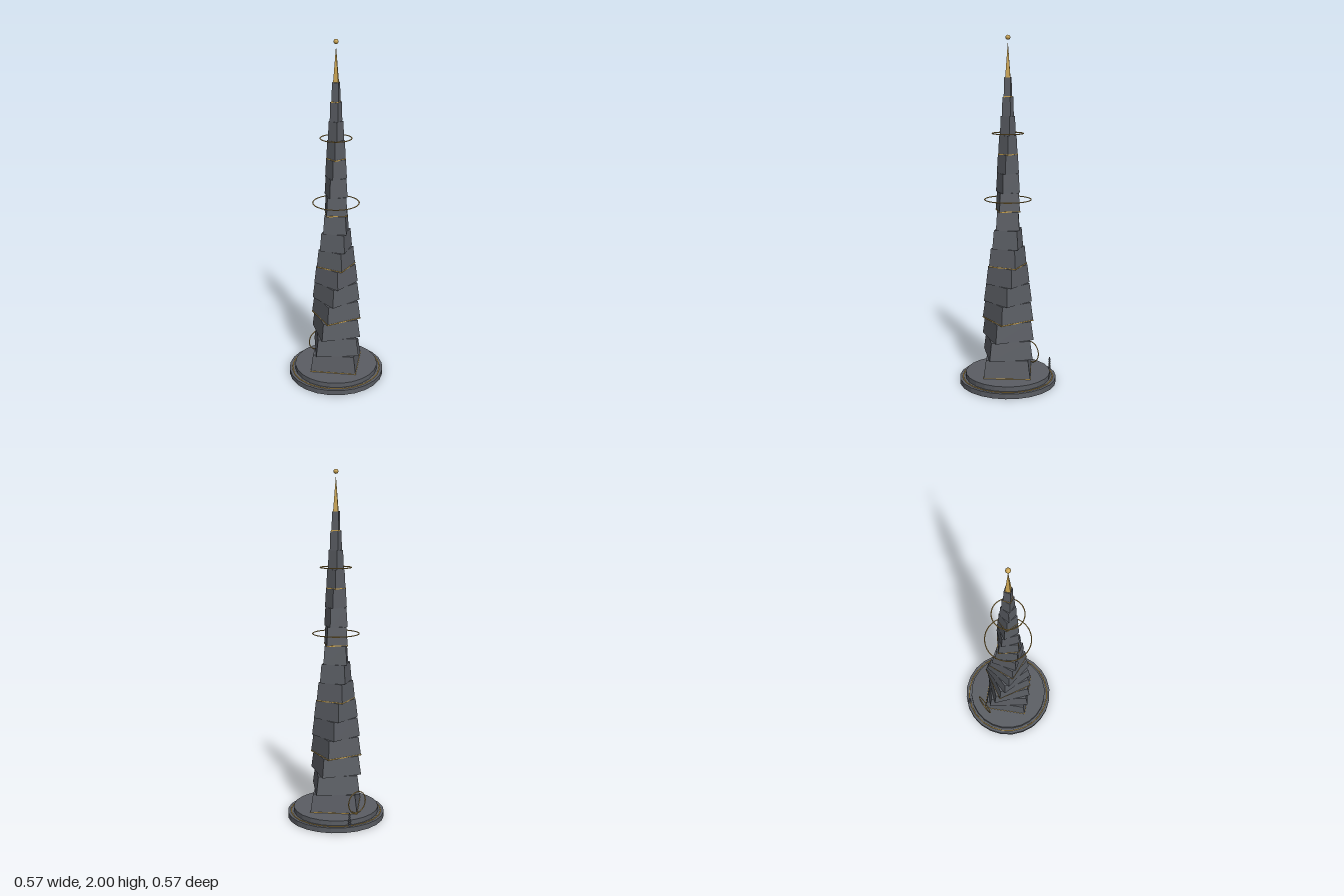
import * as THREE from 'three';

const stone = new THREE.MeshStandardMaterial({ color: 0x5a5d63 });
stone.name = 'slate stone';
const gold = new THREE.MeshStandardMaterial({ color: 0xc8a250 });
gold.name = 'gold';

export function createModel() {
  const model = new THREE.Group();

  const add = (name, geometry, material, x = 0, y = 0, z = 0) => {
    const mesh = new THREE.Mesh(geometry, material);
    mesh.name = name;
    mesh.position.set(x, y, z);
    model.add(mesh);
    return mesh;
  };
  // Faceted frustum standing on its origin
  const frustum = (rTop, rBottom, height, sides) => {
    const g = new THREE.CylinderGeometry(rTop, rBottom, height, sides).translate(0, height / 2, 0).toNonIndexed();
    g.computeVertexNormals();
    return g;
  };
  const ring = (name, radius, tube, segments, y) => {
    add(name, new THREE.TorusGeometry(radius, tube, 8, segments), gold, 0, y).rotation.x = Math.PI / 2;
  };

  // Two-step round plinth with an inlaid ring
  add('lowerPlinth', frustum(0.283, 0.283, 0.03, 24), stone);
  add('upperPlinth', frustum(0.248, 0.248, 0.03, 24), stone, 0, 0.028);
  ring('plinthRing', 0.264, 0.003, 24, 0.031);

  // Tapering square tower, each storey turned a little further
  const storeys = 16, base = 0.058, step = 0.107, twist = 0.2;
  for (let i = 0; i < storeys; i++) {
    const t = i / storeys;
    const r = 0.19 - 0.2137 * t + 0.0437 * t * t;
    const y = base + i * step;
    add('storey' + (i + 1), frustum(r * 0.9, r, step, 4), stone, 0, y).rotation.y = i * twist;
    if (i % 3 === 0) {
      add('storeyTrim' + (i + 1), frustum(r + 0.002, r + 0.002, 0.006, 4), gold, 0, y - 0.002).rotation.y = i * twist;
    }
  }

  // Spire and floating finial
  add('spire', frustum(0, 0.02, 0.195, 4), gold, 0, base + storeys * step);
  add('finial', new THREE.SphereGeometry(0.0135, 16, 12), gold, 0, 1.9865, 0);

  // Floating halo rings
  ring('lowerHalo', 0.132, 0.003, 40, 1.085);
  ring('upperHalo', 0.088, 0.003, 40, 1.46);

  // Upright portal ring at the back
  add('portalRing', new THREE.TorusGeometry(0.063, 0.003, 8, 40), gold, 0, 0.13, -0.19);

  // Small ribbed post on the plinth edge
  add('postRod', frustum(0.003, 0.004, 0.078, 8), stone, 0.103, 0.03, -0.245);
  for (let i = 0; i < 6; i++) {
    add('postRib' + (i + 1), frustum(0.005, 0.01 - i * 0.0006, 0.006, 8), stone, 0.103, 0.034 + i * 0.012, -0.245);
  }

  return model;
}
